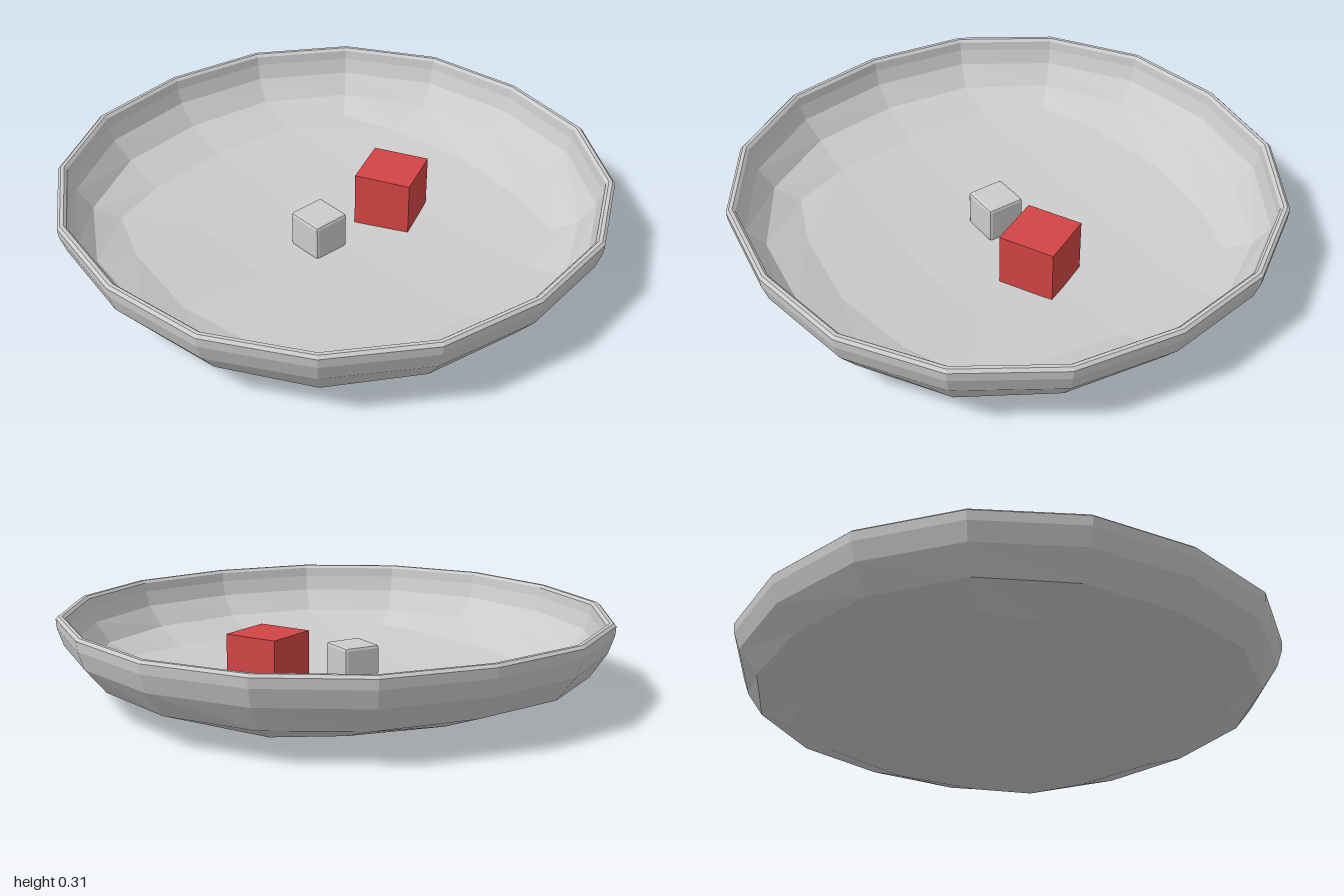
import * as THREE from 'three';
import { RoundedBoxGeometry } from 'three/addons/geometries/RoundedBoxGeometry.js';

// A level is a squarish ring: radius r on the axes, height y, and
// the quarter points (u, v) and corner points (c, c) as fractions of r.
const level = (r, y, u = 0.938, v = 0.395, c = 0.724, rise = 0) => ({ r, y, u, v, c, rise });

// Point of a level in the direction of grid cell (i, j), kept symmetric in x and z
function levelPoint(l, i, j) {
  const a = Math.abs(i), b = Math.abs(j), hi = Math.max(a, b), lo = Math.min(a, b);
  if (hi === 0) return [0, l.y, 0];
  const t = lo / hi;
  const [big, small] = t === 1 ? [l.c, l.c] : t === 0 ? [1, 0] : [l.u, l.v];
  const x = (a >= b ? big : small) * l.r * Math.sign(i);
  const z = (a >= b ? small : big) * l.r * Math.sign(j);
  return [x, l.y + l.rise * t, z];
}

function bowlGeometry() {
  // Floors: centre, inner ring, outer ring
  const outerFloor = [
    level(0, 0),
    level(0.38, 0.01, 1, 0, 0.96, 0.01),
    level(0.72, 0.04, 0.93, 0.485, 0.805, 0.015),
  ];
  const innerFloor = [
    level(0, 0.03),
    level(0.37, 0.04, 1, 0, 0.96, 0.01),
    level(0.71, 0.07, 0.93, 0.485, 0.805, 0.015),
  ];
  // Wall: up the outside, over the rim, down the inside
  const wall = [
    outerFloor[2],
    level(0.9, 0.11, 0.943, 0.4, 0.737),
    level(0.975, 0.2, 0.938, 0.395, 0.724),
    level(0.997, 0.265),
    level(1, 0.3),
    level(0.99, 0.31),
    level(0.977, 0.31),
    level(0.967, 0.3),
    level(0.963, 0.265),
    level(0.945, 0.207),
    level(0.873, 0.13, 0.943, 0.4, 0.737),
    innerFloor[2],
  ];

  const positions = [];
  const quad = (a, b, c, d) => positions.push(...a, ...b, ...c, ...a, ...c, ...d);

  const floorPoint = (floor, i, j) =>
    levelPoint(floor[Math.max(Math.abs(i), Math.abs(j))], i, j);
  for (let i = -2; i < 2; i++) {
    for (let j = -2; j < 2; j++) {
      const cell = [[i, j], [i + 1, j], [i + 1, j + 1], [i, j + 1]];
      quad(...cell.map(([p, q]) => floorPoint(outerFloor, p, q)));
      quad(...cell.map(([p, q]) => floorPoint(innerFloor, p, q)).reverse());
    }
  }

  // The 16 border cells in angular order
  const border = [];
  for (let i = -2; i <= 2; i++)
    for (let j = -2; j <= 2; j++)
      if (Math.max(Math.abs(i), Math.abs(j)) === 2) border.push([i, j]);
  border.sort((p, q) => Math.atan2(p[1], p[0]) - Math.atan2(q[1], q[0]));

  for (let k = 0; k < wall.length - 1; k++) {
    border.forEach((p, n) => {
      const q = border[(n + 1) % border.length];
      quad(levelPoint(wall[k], ...p), levelPoint(wall[k + 1], ...p),
        levelPoint(wall[k + 1], ...q), levelPoint(wall[k], ...q));
    });
  }

  const geometry = new THREE.BufferGeometry();
  geometry.setAttribute('position', new THREE.Float32BufferAttribute(positions, 3));
  geometry.computeVertexNormals();
  return geometry;
}

export function createModel() {
  const group = new THREE.Group();
  const grey = new THREE.MeshStandardMaterial({ color: 0xcccccc, flatShading: true });
  const red = new THREE.MeshStandardMaterial({ color: 0xd24444, flatShading: true });

  const add = (name, geometry, material, x, y, z) => {
    const mesh = new THREE.Mesh(geometry, material);
    mesh.name = name;
    mesh.position.set(x, y, z);
    group.add(mesh);
    return mesh;
  };

  add('bowl', bowlGeometry(), grey, 0, 0, 0);

  // Small bevelled cube near the middle
  add('smallCube', new RoundedBoxGeometry(0.148, 0.144, 0.148, 1, 0.012), grey, 0, 0.1, 0.077);

  // Larger turned cube behind it
  const redCube = add('redCube', new THREE.BoxGeometry(0.215, 0.213, 0.215), red, 0.035, 0.138, -0.262);
  redCube.rotation.y = 0.455;

  return group;
}
